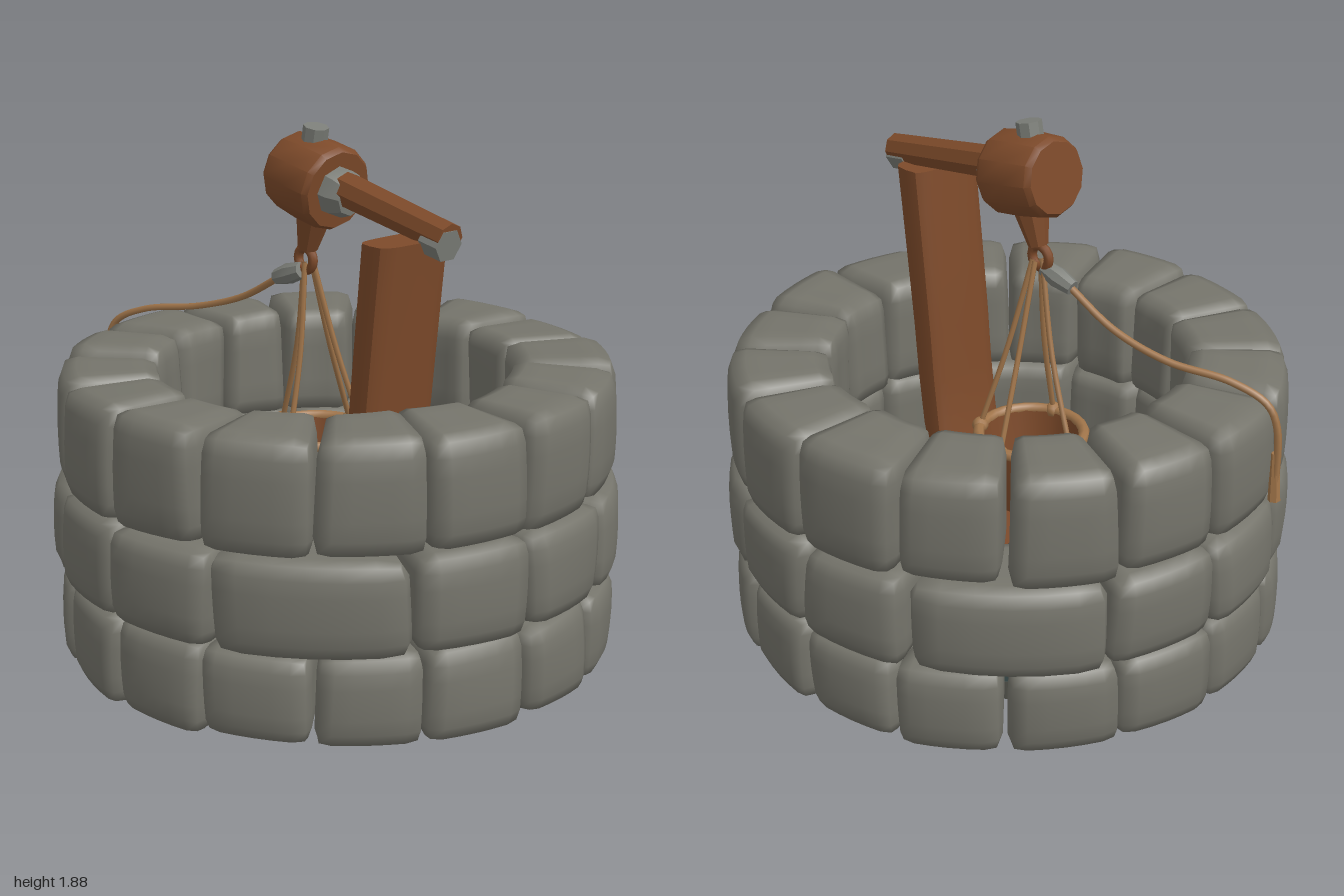
import * as THREE from 'three';
import { toCreasedNormals, mergeVertices } from 'three/addons/utils/BufferGeometryUtils.js';

const mat = (name, color, side = THREE.FrontSide) => {
  const m = new THREE.MeshStandardMaterial({ color, side });
  m.name = name;
  return m;
};
const V = (p) => new THREE.Vector3(...p);

export function createModel() {
  const model = new THREE.Group();
  model.name = 'stoneWell';
  const stone = mat('stone', 0x75746b);
  const wood = mat('wood', 0x7d4a2a, THREE.DoubleSide);
  const rope = mat('rope', 0xa1754a);
  const metal = mat('metal', 0x7c7e78);
  const water = mat('water', 0x2f3d3d);
  const base = mat('base', 0x4f4f48);

  let seed = 7;
  const rnd = () => (seed = (seed * 16807) % 2147483647) / 2147483647;

  const add = (name, geo, material, parent = model) => {
    const mesh = new THREE.Mesh(geo, material);
    mesh.name = name;
    parent.add(mesh);
    return mesh;
  };

  // Turned part from a to b; profile is [radius, fraction of length]
  const turned = (name, material, a, b, profile, sides = 10) => {
    const A = V(a), d = V(b).sub(A), len = d.length();
    const pts = profile.map(([r, t]) => new THREE.Vector2(r, t * len));
    const geo = toCreasedNormals(new THREE.LatheGeometry(pts, sides), 0.7);
    const mesh = add(name, geo, material);
    mesh.position.copy(A);
    mesh.quaternion.setFromUnitVectors(new THREE.Vector3(0, 1, 0), d.normalize());
    return mesh;
  };
  const rod = (r0, r1) => [[0, 0], [r0, 0], [r1, 1], [0, 1]];

  const cord = (name, pts, r, segs = 24) =>
    add(name, new THREE.TubeGeometry(new THREE.CatmullRomCurve3(pts.map(V)), segs, r, 6), rope);

  // Rounded, slightly uneven block bent into a ring sector
  const block = (parent, a0, a1, r0, r1, y0, y1) => {
    let geo = new THREE.BoxGeometry(1, 1, 1, 6, 6, 6);
    geo.deleteAttribute('normal');
    geo.deleteAttribute('uv');
    geo = mergeVertices(geo);
    const jitter = Array.from({ length: 8 }, () => [rnd() - 0.5, rnd() - 0.5, rnd() - 0.5]);
    const pos = geo.attributes.position, p = new THREE.Vector3(), q = new THREE.Vector3();
    const R = 0.13, lim = 0.5 - R;
    for (let i = 0; i < pos.count; i++) {
      p.fromBufferAttribute(pos, i);
      q.copy(p).clampScalar(-lim, lim);
      const d = p.clone().sub(q);
      if (d.length() > 0) p.copy(q).addScaledVector(d.normalize(), R);
      const u = p.x + 0.5, v = p.y + 0.5, w = p.z + 0.5;
      const j = [0, 0, 0];
      for (let c = 0; c < 8; c++) {
        const k = (c & 1 ? u : 1 - u) * (c & 2 ? v : 1 - v) * (c & 4 ? w : 1 - w);
        for (let n = 0; n < 3; n++) j[n] += jitter[c][n] * k;
      }
      const bulge = 0.012 * (1 - 4 * p.y * p.y) * w;
      const ang = a0 + (a1 - a0) * u + j[0] * 0.035;
      const r = r0 + (r1 - r0) * w + j[1] * 0.025 + bulge;
      const y = y0 + (y1 - y0) * v + j[2] * 0.025;
      pos.setXYZ(i, Math.sin(ang) * r, y, Math.cos(ang) * r);
    }
    geo.computeVertexNormals();
    add('stoneBlock', geo, stone, parent);
  };

  // Three courses; the middle one has wider blocks on the diagonals
  const even = [22.5, 22.5, 22.5, 22.5], wide = [25, 40, 25];
  const courses = [
    ['bottomCourse', even, 0.63, 0.975, 0.01, 0.325],
    ['middleCourse', wide, 0.64, 0.99, 0.325, 0.655],
    ['topCourse', even, 0.62, 0.975, 0.655, 1.055],
  ];
  for (const [name, widths, r0, r1, y0, y1] of courses) {
    const ring = new THREE.Group();
    ring.name = name;
    model.add(ring);
    let a = 0;
    for (let k = 0; k < 4; k++) for (const w of widths) {
      const g = 0.3;
      block(ring, THREE.MathUtils.degToRad(a + g), THREE.MathUtils.degToRad(a + w - g), r0, r1, y0, y1);
      a += w;
    }
  }

  // Floor slab and water surface
  add('floor', new THREE.CylinderGeometry(0.65, 0.65, 0.07, 40), base).position.y = 0.045;
  add('waterSurface', new THREE.CircleGeometry(0.66, 40).rotateX(-Math.PI / 2), water).position.y = 0.09;

  // Bent post: a squared-off log that follows a curve in x
  const left = new THREE.SplineCurve([[0.16, 0.05], [0.31, 0.53], [0.365, 1.05], [0.42, 1.58]].map((p) => new THREE.Vector2(...p)));
  const postGeo = new THREE.CylinderGeometry(1, 1, 1, 16, 8);
  const pp = postGeo.attributes.position;
  const square = (c) => Math.sign(c) * Math.pow(Math.abs(c), 0.5);
  for (let i = 0; i < pp.count; i++) {
    const t = pp.getY(i) + 0.5, s = left.getPoint(t);
    const half = 0.058 + 0.015 * t;
    pp.setXYZ(i, s.x + half + half * square(pp.getX(i)), s.y, 0.127 + 0.152 * square(pp.getZ(i)));
  }
  add('post', toCreasedNormals(postGeo, 0.7), wood);

  // Arm, collar and end pin
  turned('arm', wood, [0.08, 1.69, 0.07], [0.645, 1.598, 0.07], rod(0.062, 0.054), 8);
  turned('collar', metal, [0.05, 1.675, 0.07], [0.165, 1.655, 0.07], [[0, 0], [0.09, 0], [0.085, 0.6], [0.062, 1], [0, 1]], 8);
  turned('endPin', metal, [0.56, 1.59, 0.075], [0.645, 1.577, 0.075], rod(0.057, 0.057), 6);

  // Drum with its top bolt and tapering hanger
  turned('drum', wood, [-0.165, 1.71, 0.065], [0.085, 1.67, 0.065],
    [[0, 0], [0.125, 0], [0.14, 0.08], [0.148, 0.5], [0.148, 0.92], [0.135, 1], [0, 1]], 12);
  turned('topBolt', metal, [-0.04, 1.8, 0.07], [-0.025, 1.875, 0.07], rod(0.045, 0.045), 8);
  turned('hanger', wood, [-0.035, 1.6, 0.065], [-0.08, 1.44, 0.065], rod(0.07, 0.035), 8);
  const ring = add('hangerRing', new THREE.TorusGeometry(0.04, 0.017, 8, 14), wood);
  ring.position.set(-0.09, 1.4, 0.065);

  // Clamp and loose rope running over the wall
  turned('clamp', metal, [-0.1, 1.36, 0.075], [-0.22, 1.315, 0.09], [[0, 0], [0.03, 0], [0.038, 0.5], [0.028, 1], [0, 1]], 8);
  cord('looseRope', [[-0.2, 1.32, 0.09], [-0.4, 1.21, 0.11], [-0.6, 1.145, 0.16], [-0.8, 1.11, 0.25],
    [-0.92, 1.05, 0.3], [-0.955, 0.97, 0.315], [-0.957, 0.7, 0.32]], 0.013, 48);
  turned('ropeEnd', rope, [-0.95, 0.87, 0.32], [-0.957, 0.69, 0.32], rod(0.014, 0.022), 6);

  // Bucket with rope rim, water and hanging cords
  const bx = -0.115, bz = 0.0, rimY = 0.75;
  const bucketPts = [[0, 0.5], [0.15, 0.5], [0.195, 0.75], [0.17, 0.75], [0.14, 0.53]].map((p) => new THREE.Vector2(...p));
  const bucket = add('bucket', toCreasedNormals(new THREE.LatheGeometry(bucketPts, 18), 0.7), wood);
  bucket.position.set(bx, 0, bz);
  add('bucketWater', new THREE.CircleGeometry(0.155, 18).rotateX(-Math.PI / 2), water).position.set(bx, 0.59, bz);
  add('bucketRim', new THREE.TorusGeometry(0.187, 0.02, 8, 28).rotateX(Math.PI / 2), rope).position.set(bx, rimY, bz);
  for (const deg of [190, 118, 270, 20]) {
    const a = THREE.MathUtils.degToRad(deg), s = Math.sin(a), c = Math.cos(a);
    const end = [bx + 0.19 * s, rimY, bz + 0.19 * c];
    cord('bucketCord', [[-0.085 + 0.02 * s, 1.39, 0.06 + 0.02 * c],
      [-0.093 + 0.09 * s, 1.07, 0.03 + 0.09 * c], end], 0.01, 10);
    add('cordKnot', new THREE.SphereGeometry(0.03, 8, 6), rope).position.set(...end);
  }
  return model;
}
